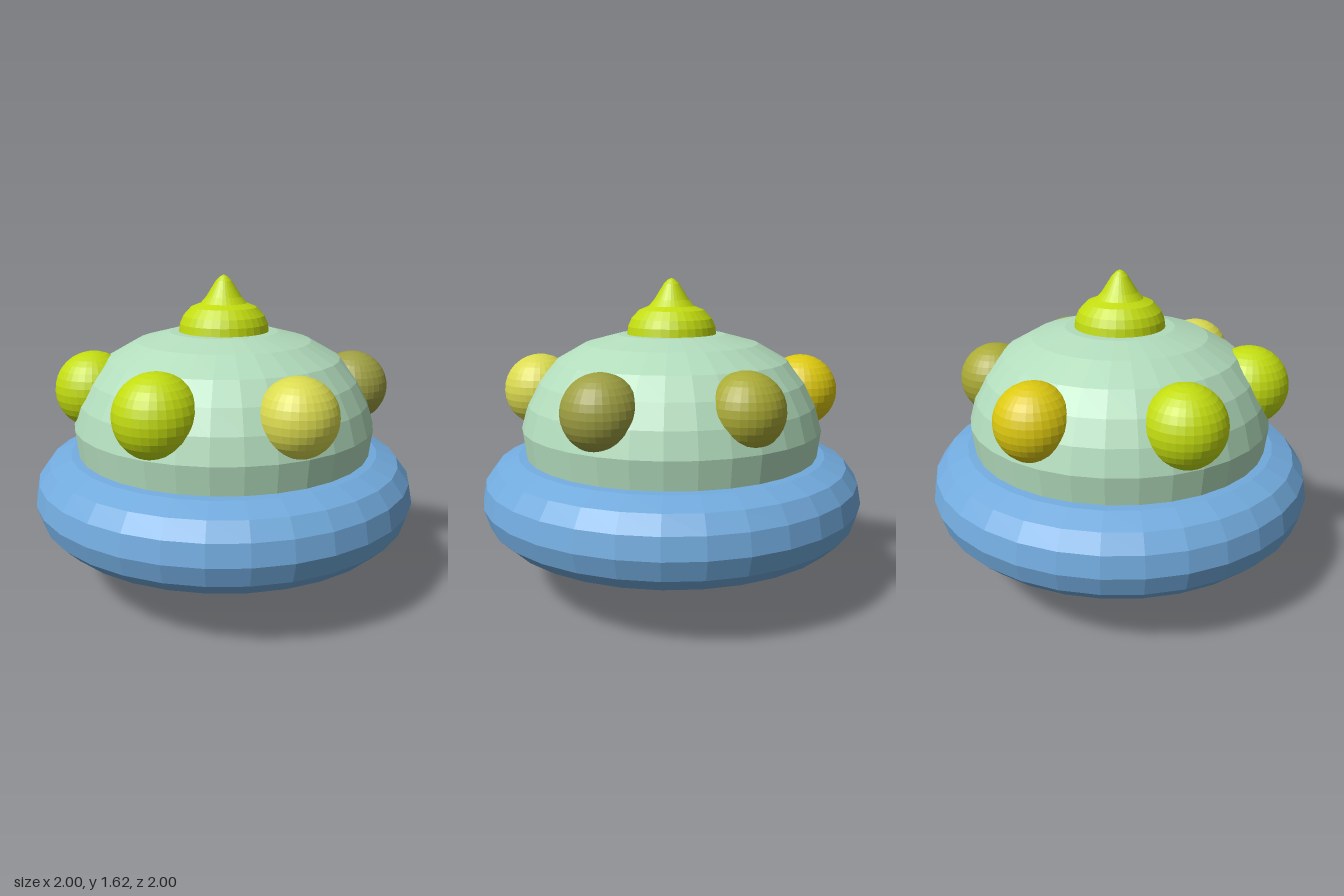
import * as THREE from 'three';

function material(name, color) {
  const m = new THREE.MeshStandardMaterial({ color, flatShading: true });
  m.name = name;
  return m;
}

export function createModel() {
  const model = new THREE.Group();
  model.name = 'saucer';

  const lime = material('lime', 0xc2dc10);
  const gold = material('gold', 0xdcc810);
  const paleYellow = material('pale yellow', 0xdada50);
  const olive = material('olive', 0x9e9f42);
  const khaki = material('khaki', 0xaaaa36);
  const mint = material('mint green', 0xb2dcbc);
  const blue = material('sky blue', 0x72abde);

  // Turned part from a profile of [radius, height] points, listed so the outside faces out
  function turned(name, profile, mat, segments = 32) {
    const points = profile.map(([r, y]) => new THREE.Vector2(r, y));
    const mesh = new THREE.Mesh(new THREE.LatheGeometry(points, segments), mat);
    mesh.name = name;
    model.add(mesh);
    return mesh;
  }

  // Rounded rim, hollow underneath with a flat lip
  turned('rim', [
    [0.80, 0.315], [0.90, 0.315], [0.97, 0.385], [1.0, 0.485], [0.98, 0.59],
    [0.92, 0.67], [0.81, 0.715], [0.74, 0.722], [0.50, 0.722],
    [0.50, 0.65], [0.74, 0.645], [0.82, 0.62], [0.87, 0.57], [0.89, 0.49],
    [0.87, 0.41], [0.80, 0.315],
  ], blue);

  // Dome
  turned('dome', [
    [0.768, 0.715], [0.785, 0.86], [0.75, 0.985], [0.69, 1.1], [0.60, 1.205],
    [0.45, 1.29], [0.28, 1.335], [0, 1.342],
  ], mint);

  // Cap with a drawn-out tip
  turned('cap', [
    [0.232, 1.335], [0.226, 1.375], [0.208, 1.415], [0.168, 1.458], [0.118, 1.478],
    [0.09, 1.51], [0.065, 1.55], [0.04, 1.59], [0.02, 1.61], [0, 1.62],
  ], lime);

  // Belly and the boss below it
  turned('belly', [
    [0, 0.158], [0.27, 0.16], [0.375, 0.19], [0.46, 0.24], [0.53, 0.32],
    [0.575, 0.42], [0.59, 0.52], [0.585, 0.66],
  ], gold);
  turned('boss', [
    [0, 0], [0.10, 0.003], [0.18, 0.015], [0.225, 0.045], [0.252, 0.09],
    [0.264, 0.135], [0.264, 0.17],
  ], gold);

  // Lamps around the dome: name, x, z, radius, colour
  const lamps = [
    ['frontLamp', 0, 0.667, 0.205, lime],
    ['frontRightLamp', -0.583, 0.343, 0.2, lime],
    ['frontLeftLamp', 0.575, 0.395, 0.19, paleYellow],
    ['backLeftLamp', 0.585, -0.35, 0.185, olive],
    ['backLamp', 0, -0.655, 0.187, khaki],
    ['backRightLamp', -0.59, -0.34, 0.19, gold],
  ];
  for (const [name, x, z, radius, mat] of lamps) {
    const lamp = new THREE.Mesh(new THREE.SphereGeometry(radius, 32, 16), mat);
    lamp.name = name;
    lamp.position.set(x, 1.035, z);
    model.add(lamp);
  }

  return model;
}
